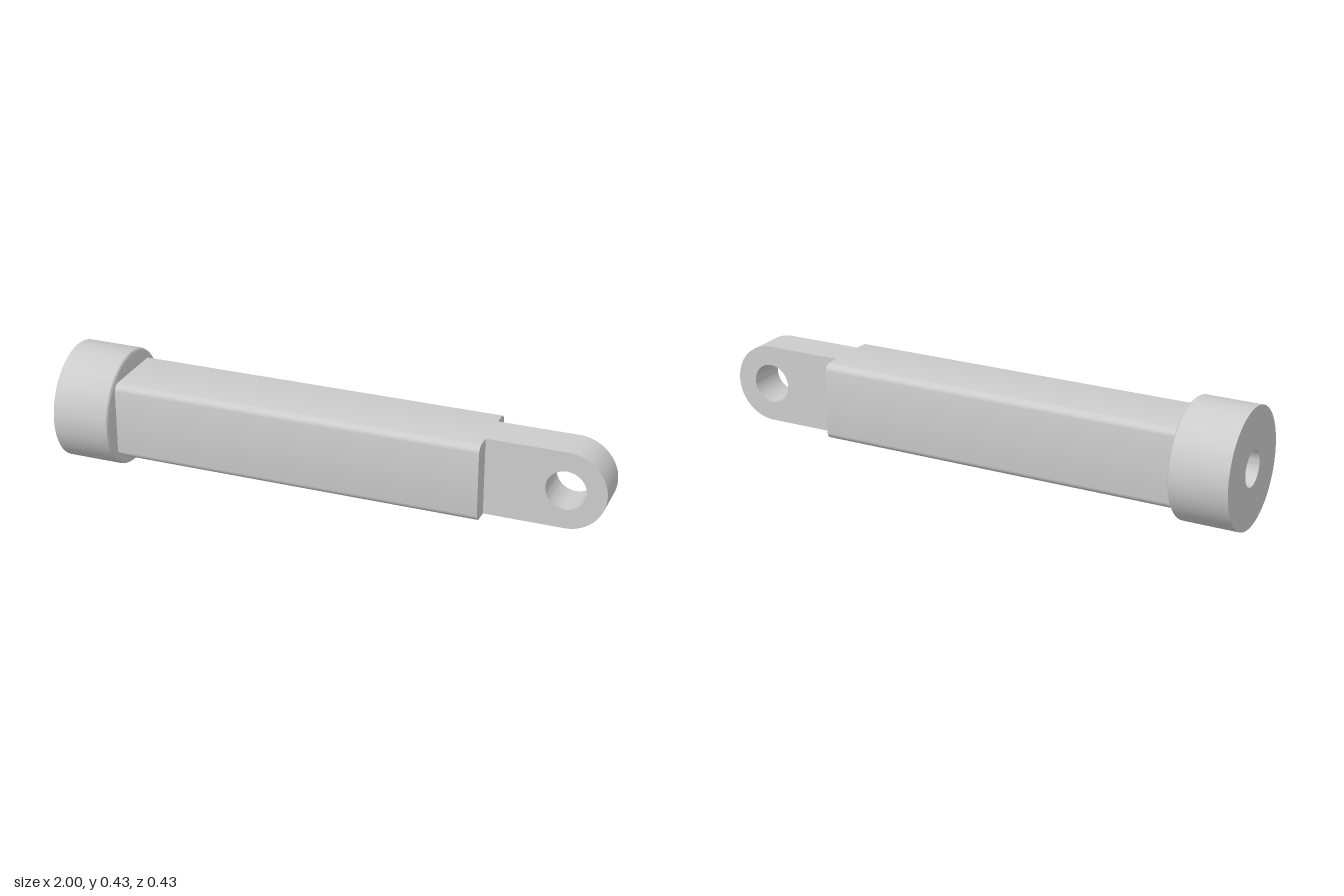
import * as THREE from 'three';
import { toCreasedNormals } from 'three/addons/utils/BufferGeometryUtils.js';

const U = 1 / 14;            // base unit: the rod is 28 units long
const AXIS = 3 * U;          // height of the rod's centre line
const material = new THREE.MeshStandardMaterial({ color: 0xcccccc });

function addPart(group, name, geometry) {
  const mesh = new THREE.Mesh(toCreasedNormals(geometry, 0.6), material);
  mesh.name = name;
  mesh.position.y = AXIS;
  group.add(mesh);
}

// Square centred on the origin with rounded corners
function roundedSquare(h, r) {
  const s = new THREE.Shape();
  s.absarc(h - r, h - r, r, 0, Math.PI / 2);
  s.absarc(r - h, h - r, r, Math.PI / 2, Math.PI);
  s.absarc(r - h, r - h, r, Math.PI, Math.PI * 1.5);
  s.absarc(h - r, r - h, r, Math.PI * 1.5, Math.PI * 2);
  s.closePath();
  return s;
}

// Keep only the side walls of an extrusion, so the bore inside stays open
function wallsOnly(geometry) {
  const { start, count } = geometry.groups[1];
  const walls = new THREE.BufferGeometry();
  const positions = geometry.attributes.position.array.slice(start * 3, (start + count) * 3);
  walls.setAttribute('position', new THREE.BufferAttribute(positions, 3));
  return walls;
}

export function createModel() {
  const group = new THREE.Group();
  group.name = 'rodEnd';

  const back = -1, shoulder = -11 * U, bodyEnd = 8 * U;

  // Round collar with a softened front rim and a blind bore from the back
  const R = 3 * U, bore = 0.9 * U, f = 0.012;
  const profile = [[0, -0.3], [bore, -0.3], [bore, back], [R, back]];
  for (let i = 0; i <= 6; i++) {
    const a = (i / 6) * Math.PI / 2;
    profile.push([R - f + f * Math.cos(a), shoulder - f + f * Math.sin(a)]);
  }
  profile.push([1.5 * U, shoulder]);
  const collar = new THREE.LatheGeometry(profile.map(p => new THREE.Vector2(...p)), 96);
  collar.rotateZ(-Math.PI / 2);
  addPart(group, 'collar', collar);

  // Square shaft with rounded long edges
  const section = roundedSquare(2 * U, 0.4 * U);
  const shaft = wallsOnly(new THREE.ExtrudeGeometry(section, {
    depth: bodyEnd - shoulder, bevelEnabled: false, curveSegments: 12,
  }));
  shaft.translate(0, 0, shoulder).rotateY(Math.PI / 2);
  addPart(group, 'shaft', shaft);

  // Flat face at the end of the shaft
  const face = new THREE.ShapeGeometry(section, 12);
  face.translate(0, 0, bodyEnd).rotateY(Math.PI / 2);
  addPart(group, 'shaftEnd', face);

  // Flat tongue with a rounded tip and a pin hole
  const eyeX = 12 * U, r = 2 * U;
  const outline = new THREE.Shape();
  outline.moveTo(bodyEnd, -r);
  outline.lineTo(eyeX, -r);
  outline.absarc(eyeX, 0, r, -Math.PI / 2, Math.PI / 2);
  outline.lineTo(bodyEnd, r);
  outline.closePath();
  outline.holes.push(new THREE.Path().absarc(eyeX, 0, U, 0, Math.PI * 2, true));
  const tongue = new THREE.ExtrudeGeometry(outline, {
    depth: 2 * U, bevelEnabled: false, curveSegments: 48,
  });
  tongue.translate(0, 0, -U);
  addPart(group, 'tongue', tongue);

  return group;
}
